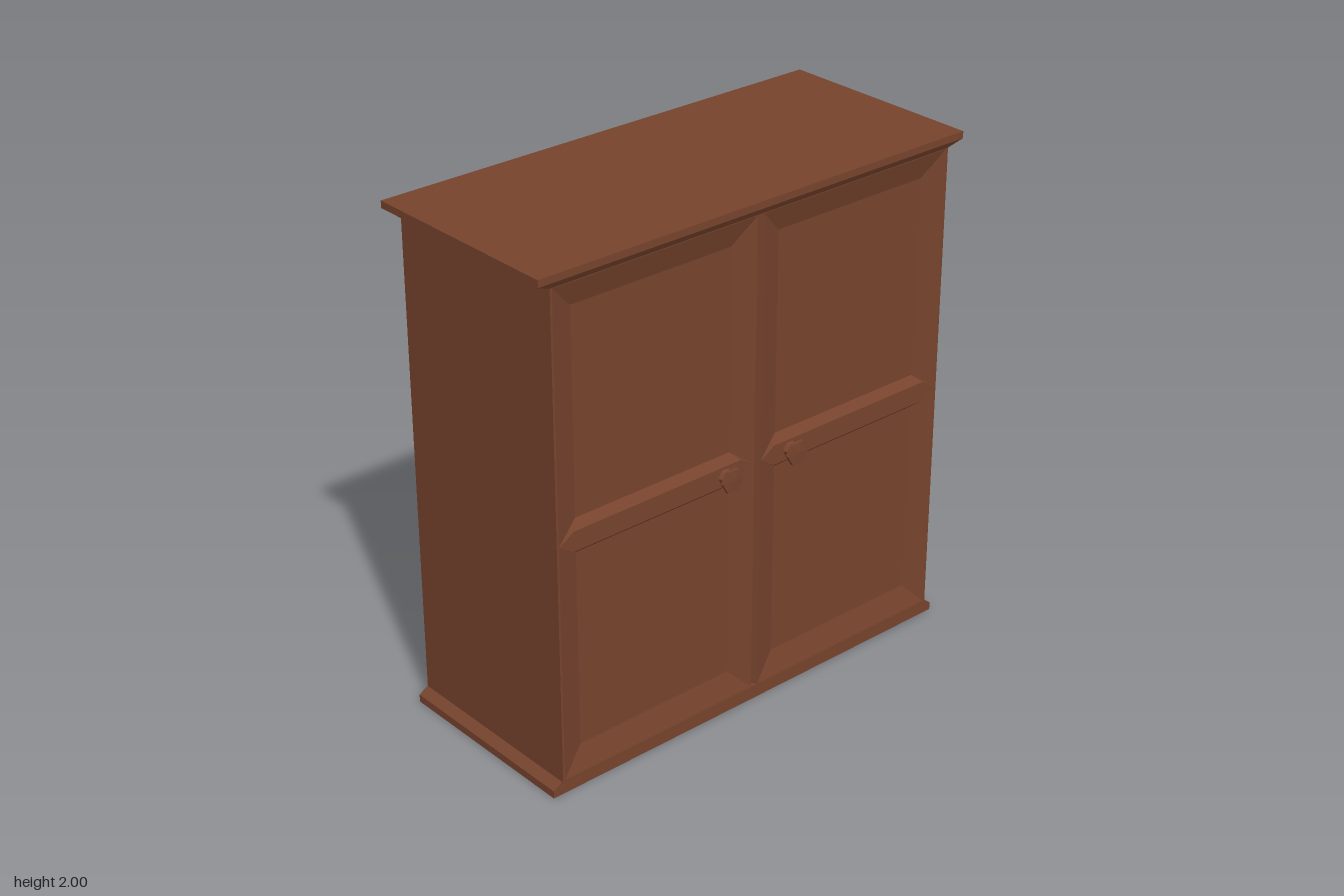
import * as THREE from 'three';

const wood = new THREE.MeshStandardMaterial({ color: 0x76432d });
wood.name = 'brown wood';

const FRONT = 0.389, PANEL = 0.36;

// Joins rings of equal length (counter-clockwise seen from the end), with optional caps
function loft(rings, capStart, capEnd) {
  const pos = [];
  const tri = (a, b, c) => pos.push(...a, ...b, ...c);
  const n = rings[0].length;
  for (let r = 0; r < rings.length - 1; r++) {
    const a = rings[r], b = rings[r + 1];
    for (let i = 0; i < n; i++) {
      const j = (i + 1) % n;
      tri(a[i], a[j], b[j]);
      tri(a[i], b[j], b[i]);
    }
  }
  const first = rings[0], last = rings[rings.length - 1];
  for (let i = 1; i < n - 1; i++) {
    if (capStart) tri(first[0], first[i + 1], first[i]);
    if (capEnd) tri(last[0], last[i], last[i + 1]);
  }
  const g = new THREE.BufferGeometry();
  g.setAttribute('position', new THREE.Float32BufferAttribute(pos, 3));
  g.computeVertexNormals();
  return g;
}

const flatRing = (x, y, z0, z1) => [[-x, y, z1], [x, y, z1], [x, y, z0], [-x, y, z0]];
const frontRing = (x, y0, y1, z) => [[-x, y0, z], [x, y0, z], [x, y1, z], [-x, y1, z]];

// Long hexagon with pointed ends, used for the middle rail
const railRing = (tip, x, y0, y1, tipZ, z) => [
  [-tip, 1, tipZ], [-x, y0, z], [x, y0, z], [tip, 1, tipZ], [x, y1, z], [-x, y1, z],
];

function add(parent, name, geometry) {
  const mesh = new THREE.Mesh(geometry, wood);
  mesh.name = name;
  parent.add(mesh);
  return mesh;
}

export function createModel() {
  const model = new THREE.Group();
  model.name = 'cabinet';

  // Carcass behind the doors
  add(model, 'carcass', new THREE.BoxGeometry(1.804, 1.94, 0.76)).position.set(0, 0.99, -0.03);

  // Front edge around the doors
  const frame = new THREE.Shape([[-0.902, 0.05], [0.902, 0.05], [0.902, 1.955], [-0.902, 1.955]]
    .map(p => new THREE.Vector2(...p)));
  frame.holes.push(new THREE.Path([[-0.893, 0.06], [-0.893, 1.945], [0.893, 1.945], [0.893, 0.06]]
    .map(p => new THREE.Vector2(...p))));
  add(model, 'frontFrame', new THREE.ExtrudeGeometry(frame, { depth: 0.039, bevelEnabled: false }))
    .position.z = FRONT - 0.039;

  // Groove where the doors meet
  add(model, 'doorGroove', loft([
    frontRing(0.015, 0.06, 1.945, FRONT), frontRing(0.003, 0.06, 1.945, FRONT - 0.02),
  ], false, true));

  // Top board with sloped underside, and the sloped plinth
  add(model, 'topBoard', loft([
    flatRing(0.902, 1.948, -0.41, 0.389), flatRing(0.96, 1.973, -0.438, 0.405),
    flatRing(0.96, 2, -0.438, 0.405),
  ], true, true));
  add(model, 'plinth', loft([
    flatRing(0.94, 0, -0.411, 0.383), flatRing(0.94, 0.03, -0.411, 0.383),
    flatRing(0.9, 0.054, -0.411, 0.383),
  ], true, true));

  // Doors: sunken panel, raised middle rail and six-sided knob
  for (const side of [-1, 1]) {
    const door = new THREE.Group();
    door.name = side > 0 ? 'leftDoor' : 'rightDoor';
    door.position.x = side * 0.454;
    model.add(door);
    add(door, 'panel', loft([
      frontRing(0.439, 0.06, 1.945, FRONT), frontRing(0.345, 0.155, 1.85, PANEL),
    ], false, true));
    add(door, 'rail', loft([
      railRing(0.439, 0.345, 0.935, 1.068, FRONT, PANEL),
      railRing(0.436, 0.375, 0.96, 1.038, FRONT, FRONT),
    ], false, true));

    const profile = [[0.032, 0], [0.022, 0.015], [0.048, 0.034], [0.048, 0.046], [0, 0.049]]
      .map(p => new THREE.Vector2(...p));
    const knob = new THREE.LatheGeometry(profile, 6, Math.PI / 6).toNonIndexed();
    knob.computeVertexNormals();
    knob.rotateX(Math.PI / 2);
    add(door, 'knob', knob).position.set(side * (0.154 - 0.454), 1, FRONT - 0.001);
  }
  return model;
}
